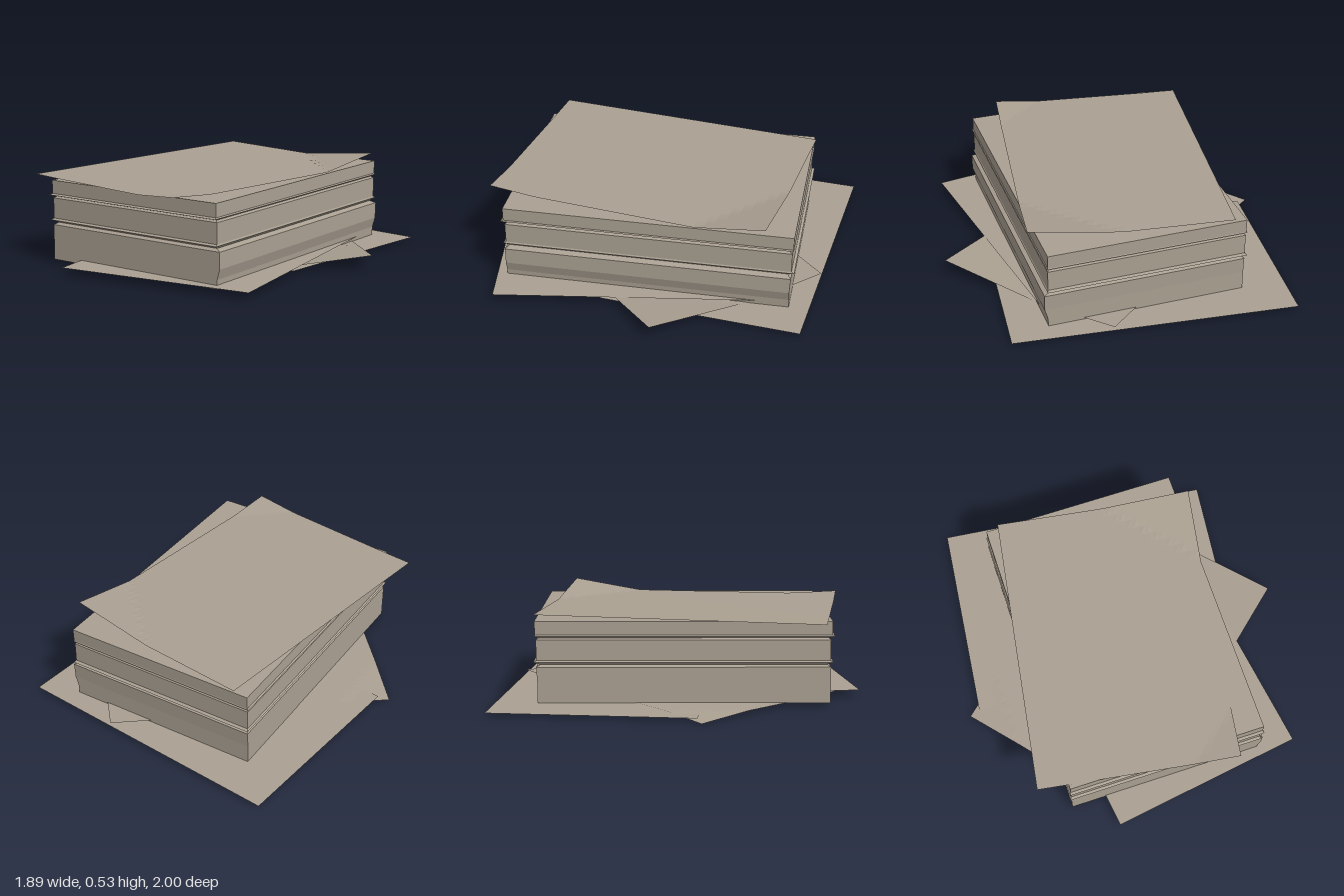
import * as THREE from 'three';

const paper = new THREE.MeshStandardMaterial({ color: 0xaaa092 });
paper.name = 'paper';
paper.flatShading = true;
paper.side = THREE.DoubleSide;

// Loose sheet: corners [x, z] go around from (u0,v0), (u1,v0), (u1,v1), (u0,v1).
// Each fold is [corner index, lift, reach along u, reach along v].
function makeSheet(name, corners, y, folds = []) {
  const n = 32;
  const geo = new THREE.PlaneGeometry(1, 1, n, n);
  const pos = geo.attributes.position;
  const [a, b, c, d] = corners;
  const mix = (k, u, v) =>
    (a[k] * (1 - u) + b[k] * u) * (1 - v) + (d[k] * (1 - u) + c[k] * u) * v;
  for (let i = 0; i < pos.count; i++) {
    const u = pos.getX(i) + 0.5;
    const v = 0.5 - pos.getY(i);
    let h = y;
    for (const [corner, lift, ru, rv] of folds) {
      const du = corner === 1 || corner === 2 ? 1 - u : u;
      const dv = corner >= 2 ? 1 - v : v;
      h += lift * Math.max(0, 1 - du / ru - dv / rv);
    }
    pos.setXYZ(i, mix(0, u, v), h, mix(1, u, v));
  }
  geo.computeVertexNormals();
  const mesh = new THREE.Mesh(geo, paper);
  mesh.name = name;
  return mesh;
}

// Stack lofted through rectangles [y, x0, x1, z0, z1]
function makeStack(levels) {
  const points = [];
  const index = [];
  levels.forEach(([y, x0, x1, z0, z1], k) => {
    points.push(x0, y, z1, x1, y, z1, x1, y, z0, x0, y, z0);
    if (k === 0) return;
    for (let i = 0; i < 4; i++) {
      const j = (i + 1) % 4;
      const p = (k - 1) * 4;
      const q = k * 4;
      index.push(p + i, p + j, q + j, p + i, q + j, q + i);
    }
  });
  const t = (levels.length - 1) * 4;
  index.push(t, t + 1, t + 2, t, t + 2, t + 3, 0, 2, 1, 0, 3, 2);
  const geo = new THREE.BufferGeometry();
  geo.setAttribute('position', new THREE.Float32BufferAttribute(points, 3));
  geo.setIndex(index);
  geo.computeVertexNormals();
  const mesh = new THREE.Mesh(geo, paper);
  mesh.name = 'paperStack';
  return mesh;
}

export function createModel() {
  const group = new THREE.Group();
  group.name = 'stackOfPapers';

  // Main stack with a bulging lower bundle and two gaps
  group.add(makeStack([
    [0.016, -0.552, 0.547, -0.745, 0.815],
    [0.065, -0.552, 0.55, -0.745, 0.815],
    [0.12, -0.552, 0.566, -0.745, 0.815],
    [0.21, -0.552, 0.566, -0.75, 0.815],
    [0.222, -0.535, 0.535, -0.73, 0.795],
    [0.238, -0.56, 0.552, -0.765, 0.827],
    [0.246, -0.552, 0.547, -0.75, 0.812],
    [0.358, -0.552, 0.547, -0.75, 0.812],
    [0.367, -0.54, 0.535, -0.735, 0.8],
    [0.377, -0.56, 0.552, -0.757, 0.835],
    [0.384, -0.552, 0.547, -0.755, 0.82],
    [0.457, -0.552, 0.547, -0.757, 0.82],
  ]));

  // Loose sheets under the stack
  group.add(makeSheet('bottomSheet',
    [[-0.77, -1], [0.77, -0.83], [0.65, 0.27], [-0.89, 0.1]], 0.014));
  group.add(makeSheet('diagonalSheet',
    [[0.23, -0.89], [0.94, -0.06], [-0.24, 0.95], [-0.95, 0.12]], 0.018,
    [[0, 0.018, 0.3, 0.25], [1, 0.058, 0.53, 0.32],
      [2, 0.017, 0.2, 0.27], [3, -0.018, 0.3, 0.18]]));
  group.add(makeSheet('frontSheet',
    [[-0.55, -0.53], [0.53, -0.69], [0.76, 0.84], [-0.33, 1]], 0.037));

  // Turned sheet on top with curled corners
  group.add(makeSheet('topSheet',
    [[-0.48, -0.77], [0.61, -0.61], [0.37, 0.94], [-0.72, 0.77]], 0.464,
    [[0, 0.016, 1.2, 1.2], [1, 0.06, 0.45, 0.25], [2, 0.02, 0.23, 0.17]]));

  return group;
}
